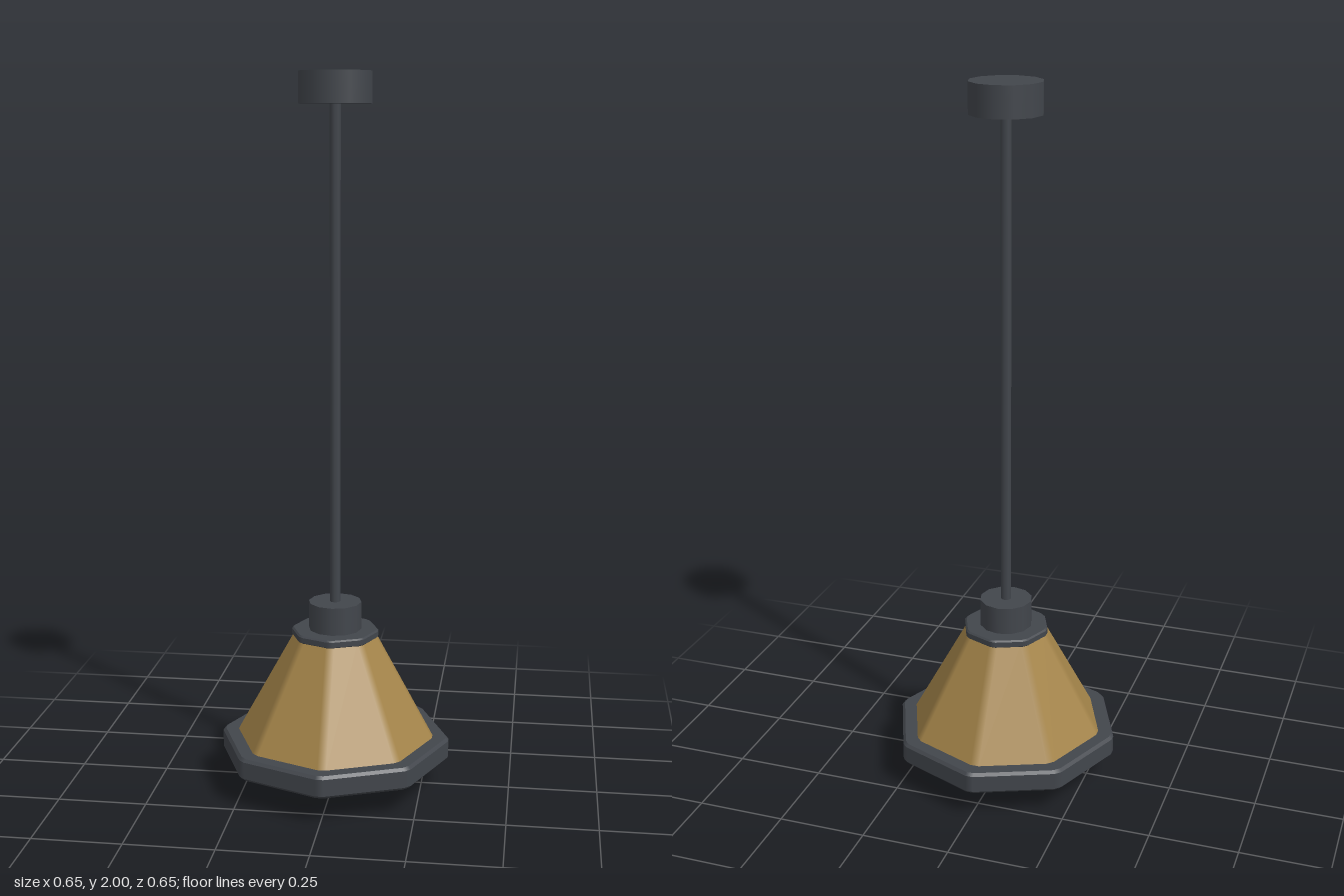
import * as THREE from 'three';

const material = (color) => new THREE.MeshStandardMaterial({ color });

// Octagonal solid with softened vertical edges, from a bottom-to-top profile of [radius, y].
// cut is the half width of the strip that softens each edge.
function octagonSolid(profile, cut) {
  const positions = [], normals = [], index = [];
  const corner = ([r, y], i, side) => {
    const a = i * Math.PI / 4 + side * cut / r;
    return [r * Math.sin(a), y, r * Math.cos(a)];
  };
  for (let p = 0; p < profile.length - 1; p++) {
    const [r0, y0] = profile[p], [r1, y1] = profile[p + 1];
    const tilt = new THREE.Vector2(y1 - y0, (r0 - r1) * Math.cos(Math.PI / 8)).normalize();
    const start = positions.length / 3;
    for (let i = 0; i < 8; i++) {
      for (const side of [-1, 1]) {
        const a = (i + side / 2) * Math.PI / 4; // direction of the neighbouring flat
        for (const ring of [profile[p], profile[p + 1]]) {
          positions.push(...corner(ring, i, side));
          normals.push(tilt.x * Math.sin(a), tilt.y, tilt.x * Math.cos(a));
        }
      }
    }
    for (let k = 0; k < 16; k++) {
      const a = start + k * 2, b = start + ((k + 1) % 16) * 2;
      index.push(a, b, b + 1, a, b + 1, a + 1);
    }
  }
  // Flat caps
  for (const [ring, up] of [[profile[0], -1], [profile[profile.length - 1], 1]]) {
    const center = positions.length / 3;
    positions.push(0, ring[1], 0);
    normals.push(0, up, 0);
    for (let k = 0; k < 16; k++) {
      positions.push(...corner(ring, k >> 1, k % 2 ? 1 : -1));
      normals.push(0, up, 0);
    }
    for (let k = 0; k < 16; k++) {
      const a = center + 1 + k, b = center + 1 + (k + 1) % 16;
      index.push(center, up > 0 ? a : b, up > 0 ? b : a);
    }
  }
  const geometry = new THREE.BufferGeometry();
  geometry.setAttribute('position', new THREE.Float32BufferAttribute(positions, 3));
  geometry.setAttribute('normal', new THREE.Float32BufferAttribute(normals, 3));
  geometry.setIndex(index);
  return geometry;
}

export function createModel() {
  const group = new THREE.Group();
  const metal = material(0x42464c);
  const brass = material(0xa5854a);
  const glow = material(0xd9a850);
  glow.flatShading = true;

  const add = (name, geometry, mat, y = 0) => {
    const mesh = new THREE.Mesh(geometry, mat);
    mesh.name = name;
    mesh.position.y = y;
    group.add(mesh);
    return mesh;
  };
  const cylinder = (name, radius, bottom, top, sides) =>
    add(name, new THREE.CylinderGeometry(radius, radius, top - bottom, sides), metal, (bottom + top) / 2);

  // Ceiling mount, rod and socket
  cylinder('ceilingMount', 0.1, 1.915, 2, 12);
  cylinder('rod', 0.015, 0.5, 1.93, 8);
  cylinder('socket', 0.075, 0.44, 0.535, 12);

  // Octagonal shade with its collar and rim
  add('collar', octagonSolid([[0.118, 0.433], [0.123, 0.437], [0.123, 0.452], [0.118, 0.456]], 0.009), metal);
  add('shade', octagonSolid([[0.284, 0.135], [0.117, 0.44]], 0.012), brass);
  add('rim', octagonSolid([[0.318, 0.078], [0.326, 0.086], [0.326, 0.134], [0.318, 0.142]], 0.011), metal);

  // Faceted bulb, flattened front to back
  add('bulb', new THREE.IcosahedronGeometry(1, 1), glow, 0.1).scale.set(0.095, 0.1, 0.046);

  return group;
}
